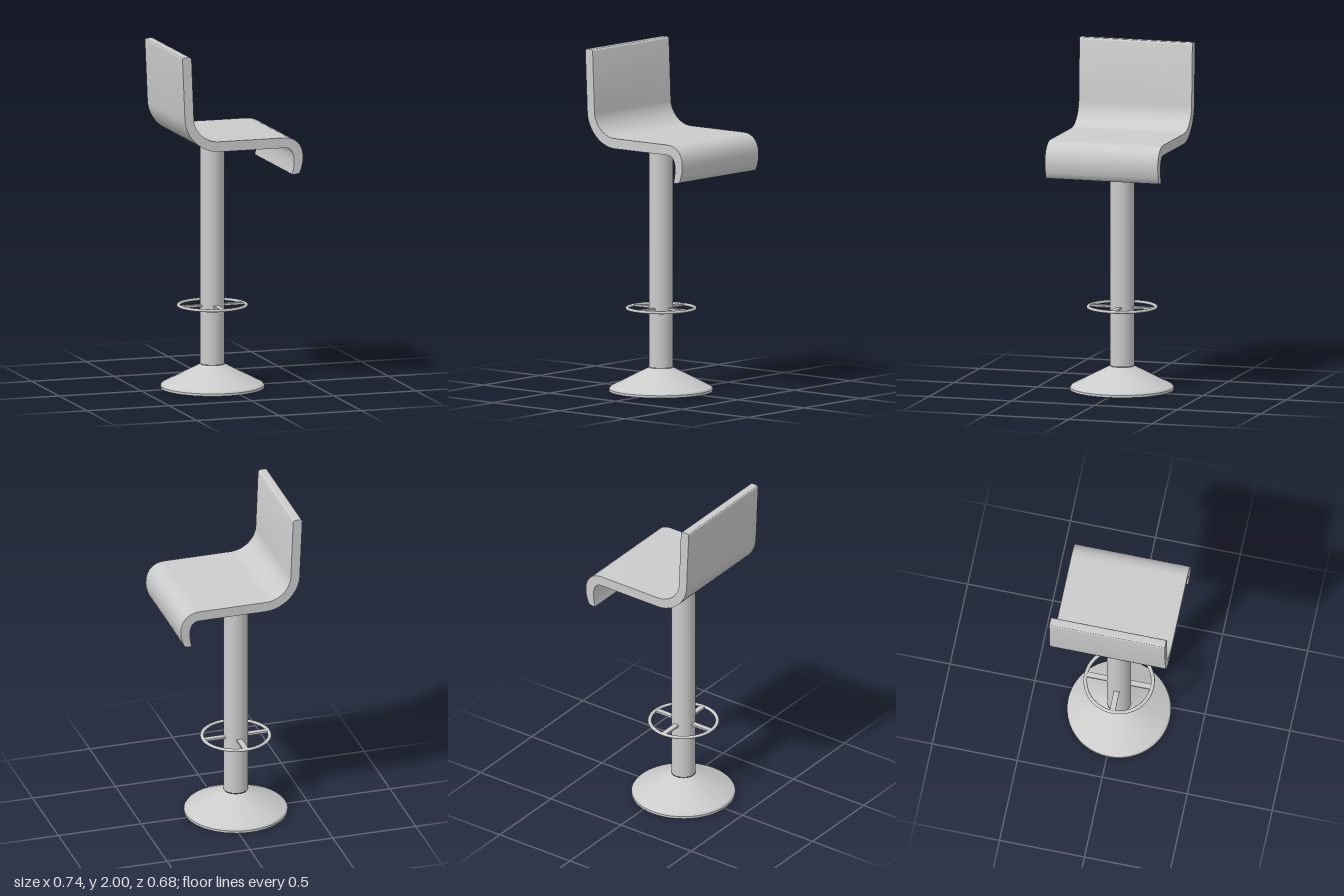
import * as THREE from 'three';
import { toCreasedNormals } from 'three/addons/utils/BufferGeometryUtils.js';

const CX = -0.073, CZ = 0.01; // pedestal axis

export function createModel() {
  const stool = new THREE.Group();
  stool.name = 'barStool';
  const solid = new THREE.MeshStandardMaterial({ color: 0xcccccc });
  const thin = new THREE.MeshStandardMaterial({ color: 0xcccccc, side: THREE.DoubleSide });

  function add(name, geometry, material, parent) {
    const mesh = new THREE.Mesh(geometry, material);
    mesh.name = name;
    parent.add(mesh);
    return mesh;
  }

  // One bent sheet: backrest, seat and curled front lip
  const s = new THREE.Shape();
  s.moveTo(-0.365, 1.985);
  s.lineTo(-0.35, 1.63);
  s.bezierCurveTo(-0.345, 1.53, -0.25, 1.438, -0.145, 1.438);
  s.lineTo(0.255, 1.438);
  s.bezierCurveTo(0.3, 1.438, 0.33, 1.4, 0.302, 1.28);
  s.quadraticCurveTo(0.34, 1.278, 0.348, 1.29);
  s.bezierCurveTo(0.395, 1.4, 0.355, 1.497, 0.255, 1.497);
  s.lineTo(-0.145, 1.497);
  s.bezierCurveTo(-0.225, 1.497, -0.29, 1.56, -0.296, 1.63);
  s.lineTo(-0.31, 1.985);
  s.quadraticCurveTo(-0.313, 2, -0.324, 2);
  s.lineTo(-0.352, 2);
  s.quadraticCurveTo(-0.366, 2, -0.365, 1.985);
  const sheet = new THREE.ExtrudeGeometry(s, { depth: 0.68, bevelEnabled: false, curveSegments: 12 });
  sheet.translate(0, 0, -0.34);
  add('seat', toCreasedNormals(sheet, 0.6), solid, stool);

  // Pedestal parts share one axis
  const pedestal = new THREE.Group();
  pedestal.name = 'pedestal';
  pedestal.position.set(CX, 0, CZ);
  stool.add(pedestal);

  const column = new THREE.CylinderGeometry(0.07, 0.07, 1.3, 40, 1, true);
  column.translate(0, 0.79, 0);
  add('column', column, thin, pedestal);

  // Hollow flared foot
  const profile = [[0.3, 0], [0.3, 0.014], [0.292, 0.024], [0.07, 0.138]]
    .map(([r, y]) => new THREE.Vector2(r, y));
  add('base', toCreasedNormals(new THREE.LatheGeometry(profile, 48), 0.4), thin, pedestal);

  // Footrest ring with four flat spokes
  const footrest = new THREE.Group();
  footrest.name = 'footrest';
  footrest.position.y = 0.482;
  pedestal.add(footrest);
  const ring = new THREE.TorusGeometry(0.195, 0.011, 10, 48);
  ring.rotateX(Math.PI / 2);
  ring.scale(1, 0.8, 1);
  add('footRing', ring, solid, footrest);
  for (let i = 0; i < 4; i++) {
    const spoke = new THREE.BoxGeometry(0.13, 0.012, 0.032);
    spoke.translate(0.128, 0, 0);
    add('spoke', spoke, solid, footrest).rotation.y = i * Math.PI / 2;
  }
  return stool;
}
